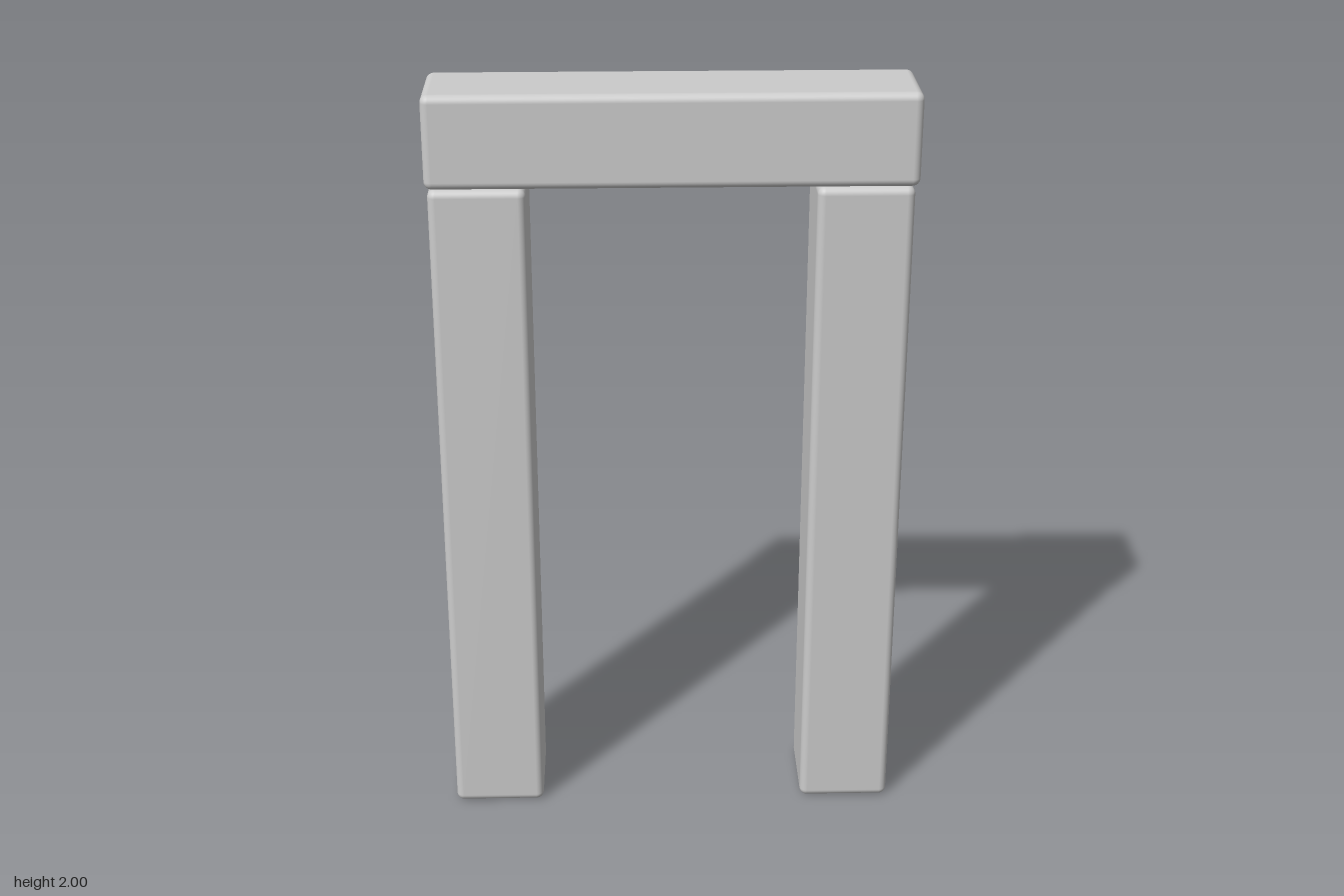
import * as THREE from 'three';
import { RoundedBoxGeometry } from 'three/addons/geometries/RoundedBoxGeometry.js';

const WIDTH = 0.24;      // thickness of every beam
const POST_TOP = 1.765;
const RADIUS = 0.02;     // softened edges

export function createModel() {
  const group = new THREE.Group();
  group.name = 'gateway';
  const material = new THREE.MeshStandardMaterial({ color: 0xcccccc });

  function beam(name, width, bottom, top, x) {
    const height = top - bottom;
    const mesh = new THREE.Mesh(new RoundedBoxGeometry(width, height, WIDTH, 4, RADIUS), material);
    mesh.name = name;
    mesh.position.set(x, bottom + height / 2, 0);
    group.add(mesh);
  }

  // Two upright posts
  beam('leftPost', WIDTH, 0, POST_TOP, 0.474);
  beam('rightPost', WIDTH, 0, POST_TOP, -0.478);

  // Crossbeam resting on the posts, slightly overhanging
  beam('lintel', 1.21, POST_TOP, 2, 0);

  return group;
}
